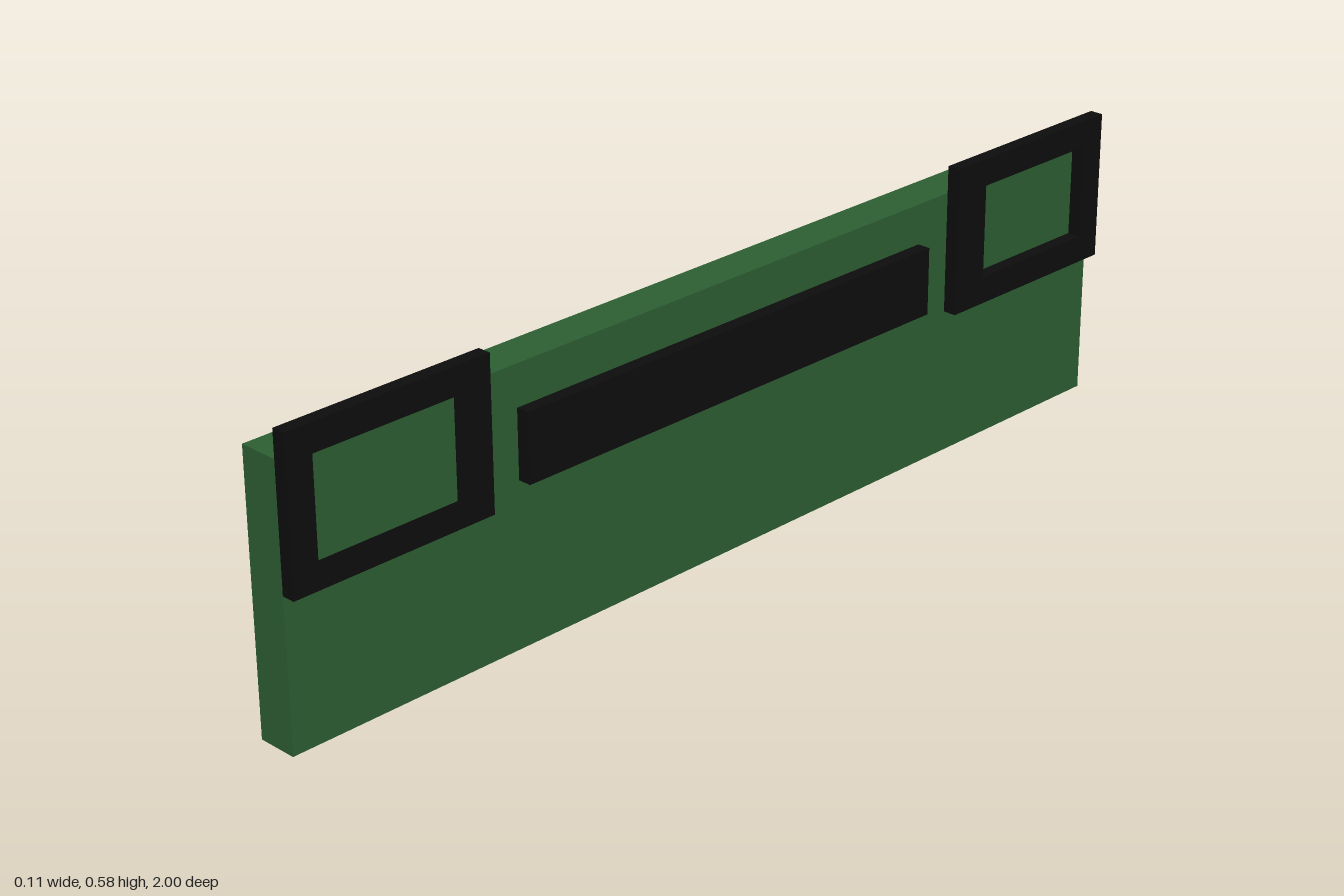
import * as THREE from 'three';

export function createModel() {
  const model = new THREE.Group();
  const green = new THREE.MeshStandardMaterial({ color: 0x2d6034 });
  green.name = 'green';
  const black = new THREE.MeshStandardMaterial({ color: 0x0d0d0d });
  black.name = 'black';

  const faceX = 0.026;  // outer face of the panel
  const depth = 0.0265; // thickness of the raised trim

  const add = (name, geometry, material) => {
    const mesh = new THREE.Mesh(geometry, material);
    mesh.name = name;
    model.add(mesh);
    return mesh;
  };

  // Main panel
  add('panel', new THREE.BoxGeometry(0.079, 0.527, 2), green)
    .position.set(faceX - 0.0395, 0.2635, 0);

  // Long centre bar
  add('centreBar', new THREE.BoxGeometry(depth, 0.132, 1), black)
    .position.set(faceX + depth / 2, 0.382, 0);

  // Rectangular frames at both ends, with a wider inner upright
  const rectangle = (path, a0, a1, y0, y1) => {
    path.moveTo(a0, y0);
    path.lineTo(a1, y0);
    path.lineTo(a1, y1);
    path.lineTo(a0, y1);
    path.closePath();
    return path;
  };
  for (const side of [1, -1]) {
    // Shape x becomes -z once the frame is turned to face +x
    const shape = rectangle(new THREE.Shape(), -side * 0.579, -side, 0.29, 0.58);
    shape.holes.push(rectangle(new THREE.Path(), -side * 0.658, -side * 0.947, 0.343, 0.527));
    const geometry = new THREE.ExtrudeGeometry(shape, { depth, bevelEnabled: false });
    geometry.rotateY(Math.PI / 2);
    add(side > 0 ? 'frontFrame' : 'rearFrame', geometry, black).position.x = faceX;
  }

  return model;
}
